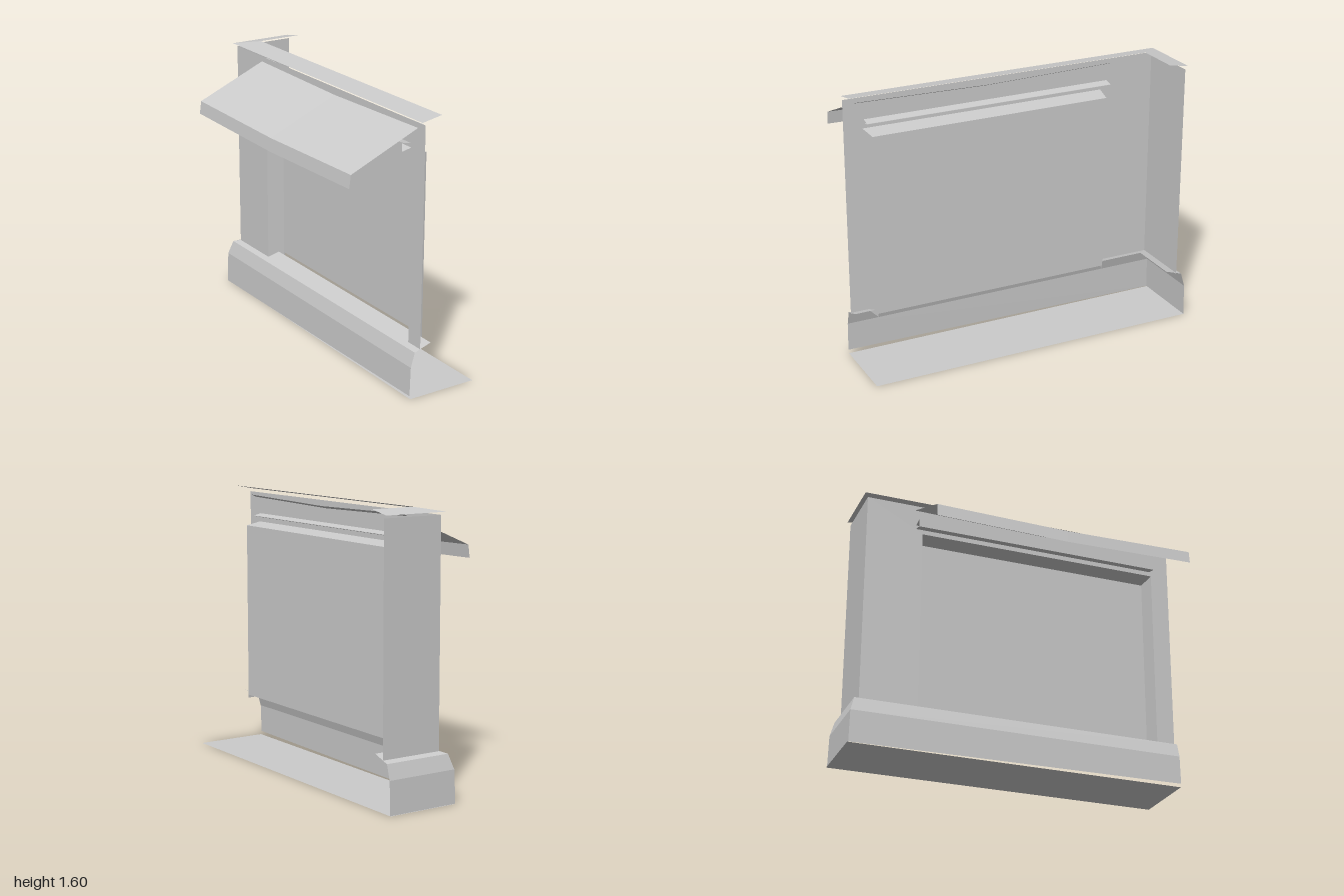
import * as THREE from 'three';

const material = new THREE.MeshStandardMaterial({ color: 0xcccccc, flatShading: true, side: THREE.DoubleSide });

// Open sheet through rows of points, all rows the same length.
function sheet(name, rows) {
  const n = rows[0].length;
  const index = [];
  for (let r = 0; r < rows.length - 1; r++) {
    for (let c = 0; c < n - 1; c++) {
      const a = r * n + c, b = a + n;
      index.push(a, a + 1, b, b, a + 1, b + 1);
    }
  }
  const geometry = new THREE.BufferGeometry();
  geometry.setAttribute('position', new THREE.Float32BufferAttribute(rows.flat(2), 3));
  geometry.setIndex(index);
  geometry.computeVertexNormals();
  const mesh = new THREE.Mesh(geometry, material);
  mesh.name = name;
  return mesh;
}

const FRONT = 1, EDGE = 0.4, WALL_X = 0.03, WALL_Z = -0.93;

// Profile of [outward offset, height] swept round the mitred corner of the two walls.
// lift raises the lowest profile point at the front end.
function cornerStrip(name, profile, lift = 0) {
  return sheet(name, profile.map(([d, y], i) => [
    [WALL_X - d, i === 0 ? y + lift : y, FRONT],
    [WALL_X - d, y, WALL_Z - d],
    [EDGE, y, WALL_Z - d],
  ]));
}

export function createModel() {
  const model = new THREE.Group();
  model.name = 'shopfrontCorner';

  // Plinth with chamfered shoulder and sloping top, and the ground slab
  model.add(cornerStrip('plinth', [[0.065, 0], [0.06, 0.19], [0.035, 0.275], [-0.07, 0.31]], 0.02));
  model.add(sheet('floor', [
    [[-0.03, 0, FRONT], [-0.03, 0, -1]],
    [[EDGE, 0, FRONT], [EDGE, 0, -1]],
  ]));

  // Side wall with an opening down to the plinth
  const wall = new THREE.Shape();
  [[-FRONT, 0.28], [-0.89, 0.28], [-0.89, 1.38], [0.59, 1.38], [0.59, 0.28],
    [-WALL_Z, 0.28], [-WALL_Z, 1.56], [-FRONT, 1.56]]
    .forEach(([u, v], i) => (i ? wall.lineTo(u, v) : wall.moveTo(u, v)));
  const sideWall = new THREE.Mesh(new THREE.ShapeGeometry(wall), material);
  sideWall.name = 'sideWall';
  sideWall.rotation.y = Math.PI / 2;
  sideWall.position.x = WALL_X;
  model.add(sideWall);

  model.add(sheet('backWall', [
    [[WALL_X, 0.28, WALL_Z], [EDGE, 0.28, WALL_Z]],
    [[WALL_X, 1.56, WALL_Z], [EDGE, 1.56, WALL_Z]],
  ]));

  // Window recess and pane
  const frame = (x, inset) => [
    [x, 0.28, 0.89 - inset], [x, 1.38 - inset, 0.89 - inset],
    [x, 1.38 - inset, -0.59 + inset], [x, 0.28, -0.59 + inset],
  ];
  model.add(sheet('windowReveal', [frame(WALL_X, 0), frame(0.135, 0.017)]));
  model.add(sheet('windowPane', [
    [[0.135, 0.3, 0.873], [0.135, 0.3, -0.573]],
    [[0.135, 1.363, 0.873], [0.135, 1.363, -0.573]],
  ]));

  // Sloping roof edge
  model.add(cornerStrip('cornice', [[0.02, 1.577], [-0.105, 1.6]]));

  // Wedge-shaped lintel over the window
  model.add(sheet('lintel', [[0.08, 1.42], [-0.03, 1.445], [-0.03, 1.395], [0.08, 1.418]]
    .map(([x, y]) => [[x, y, 0.88], [x, y, -0.63]])));

  // Awning sagging slightly at mid-span, with a hanging front flap
  model.add(sheet('awning', [[0.065, 1.545], [-0.39, 1.35], [-0.4, 1.275]]
    .map(([x, y]) => [[x, y, 0.935], [x, y - 0.015, 0.15], [x, y, -0.64]])));

  return model;
}
